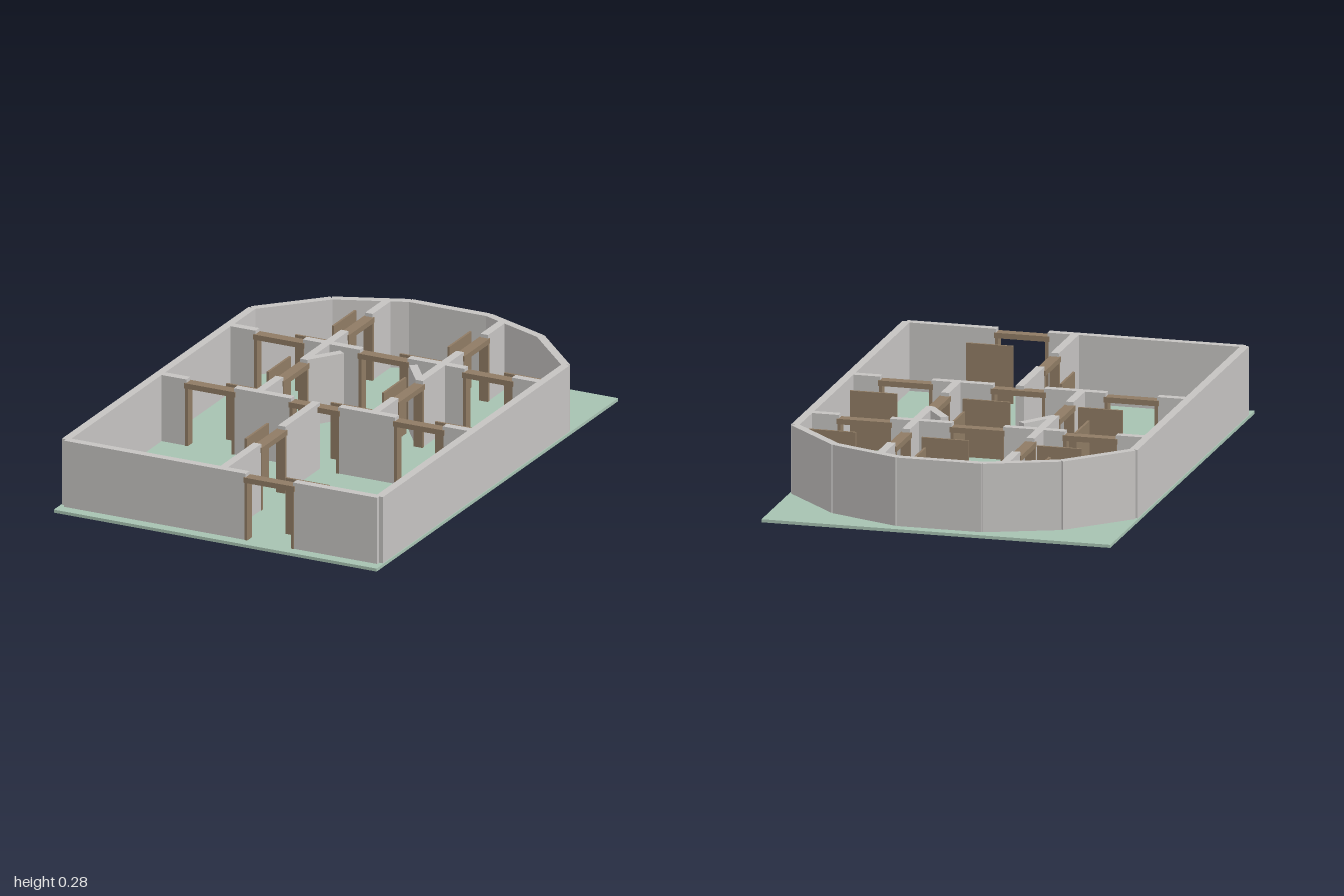
import * as THREE from 'three';

const FLOOR = 0.012, TOP = 0.278, THICK = 0.032, GAP = 0.1;

export function createModel() {
  const model = new THREE.Group();
  model.name = 'floorPlan';
  const mat = (name, color) => {
    const m = new THREE.MeshStandardMaterial({ color });
    m.name = name;
    return m;
  };
  const plaster = mat('wall grey', 0xc5c3c1);
  const wood = mat('door brown', 0x8f7b64);
  const green = mat('floor green', 0xa6c2b1);

  // Box given by its extents along x, y and z
  const box = (name, material, x0, x1, y0, y1, z0, z1, parent = model) => {
    const m = new THREE.Mesh(new THREE.BoxGeometry(x1 - x0, y1 - y0, z1 - z0), material);
    m.position.set((x0 + x1) / 2, (y0 + y1) / 2, (z0 + z1) / 2);
    m.name = name;
    parent.add(m);
    return m;
  };

  // Straight wall between two plan points
  const wall = (name, [ax, az], [bx, bz]) => {
    const len = Math.hypot(bx - ax, bz - az);
    const m = box(name, plaster, -len / 2, len / 2, FLOOR, TOP, -THICK / 2, THICK / 2);
    m.position.set((ax + bx) / 2, (FLOOR + TOP) / 2, (az + bz) / 2);
    m.rotation.y = -Math.atan2(bz - az, bx - ax);
  };

  // Door frame with its leaf standing open behind it
  const doorway = (x, z, turned) => {
    const g = new THREE.Group();
    g.name = 'doorway';
    for (const s of [-1, 1])
      box('doorPost', wood, s * 0.098 - 0.006, s * 0.098 + 0.006, FLOOR, 0.243, -0.019, 0.019, g);
    box('doorLintel', wood, -0.107, 0.107, 0.243, 0.264, -0.021, 0.021, g);
    box('doorLeaf', wood, 0.008, 0.192, FLOOR + 0.004, 0.241, -0.109, -0.1, g);
    g.position.set(x, 0, z);
    if (turned) g.rotation.y = Math.PI / 2;
    model.add(g);
  };

  // Wall along x or z, interrupted by doorways
  const wallWithDoors = (name, fixed, from, to, doors, turned) => {
    const pt = t => (turned ? [fixed, t] : [t, fixed]);
    let start = from;
    for (const d of doors) {
      wall(name, pt(start), pt(d - GAP));
      doorway(...pt(d), turned);
      start = d + GAP;
    }
    wall(name, pt(start), pt(to));
  };

  box('floor', green, -0.68, 0.68, 0, FLOOR, -1, 1);

  // Outer walls: straight sides and front, faceted back
  const outline = [[-0.66, 0.94], [-0.66, -0.605], [-0.44, -0.83], [-0.165, -0.94],
    [0.165, -0.94], [0.44, -0.83], [0.66, -0.605], [0.66, 0.94]];
  for (let i = 0; i < outline.length - 1; i++) wall('outerWall', outline[i], outline[i + 1]);
  wallWithDoors('frontWall', 0.94, -0.66, 0.66, [0.206], false);

  // Cross walls and lengthwise partitions
  for (const z of [-0.41, 0.162])
    wallWithDoors('crossWall', z, -0.66, 0.66, [-0.44, 0, 0.44], false);
  for (const s of [-1, 1]) {
    wallWithDoors('partition', s * 0.243, -0.9, 0.162, [-0.65, -0.11], true);
    wall('angledStub', [s * 0.238, -0.225], [s * 0.15, -0.345]);
  }
  wallWithDoors('frontPartition', 0, 0.162, 0.94, [0.55], true);

  return model;
}
